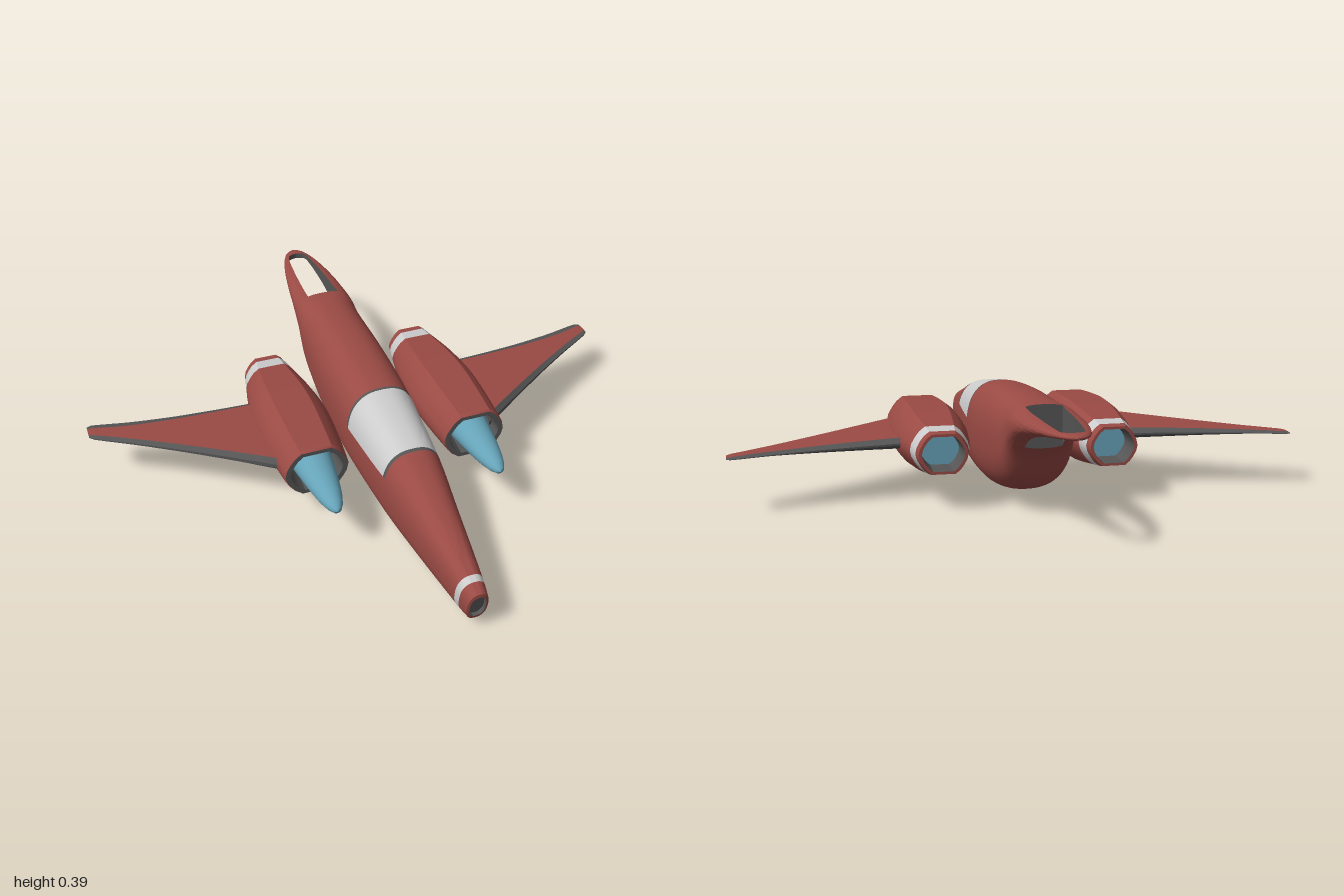
import * as THREE from 'three';
import { toCreasedNormals } from 'three/addons/utils/BufferGeometryUtils.js';

const mat = (color) => new THREE.MeshStandardMaterial({ color, side: THREE.DoubleSide });
const red = mat(0x9a4a44), white = mat(0xcccccc), blue = mat(0x66a3b8), dark = mat(0x555555);

// Skin a grid of points: rows run along the part, columns run around it.
function skin(name, rows, material, flip = false, crease = 0.6) {
  const n = rows[0].length, index = [];
  for (let i = 0; i < rows.length - 1; i++) {
    for (let j = 0; j < n - 1; j++) {
      const a = i * n + j, b = a + 1, d = a + n, c = d + 1;
      index.push(...(flip ? [a, c, b, a, d, c] : [a, b, c, a, c, d]));
    }
  }
  const g = new THREE.BufferGeometry();
  g.setAttribute('position', new THREE.Float32BufferAttribute(rows.flat(2), 3));
  g.setIndex(index);
  const mesh = new THREE.Mesh(toCreasedNormals(g, crease), material);
  mesh.name = name;
  return mesh;
}

// Smooth interpolation through [position, value, value...] keys, position descending.
function spline(keys, t, k) {
  let i = 0;
  while (i < keys.length - 2 && t < keys[i + 1][0]) i++;
  const slope = (m) => {
    const p = keys[Math.max(m - 1, 0)], q = keys[Math.min(m + 1, keys.length - 1)];
    return (q[k] - p[k]) / (q[0] - p[0]);
  };
  const a = keys[i], b = keys[i + 1], h = b[0] - a[0];
  const u = THREE.MathUtils.clamp((t - a[0]) / h, 0, 1), v = 1 - u;
  return a[k] * v * v * (1 + 2 * u) + b[k] * u * u * (1 + 2 * v)
    + h * (slope(i) * u * v * v - slope(i + 1) * u * u * v);
}
const steps = (a, b, n) => Array.from({ length: n + 1 }, (_, i) => a + (b - a) * i / n);

// Hull stations: z, half width, top, bottom
const HULL = [
  [0.955, 0.036, 0.168, 0.048], [0.9, 0.046, 0.187, 0.04], [0.6, 0.086, 0.266, 0.016],
  [0.41, 0.11, 0.315, 0.006], [0.2, 0.125, 0.35, 0], [0.05, 0.133, 0.37, 0.002],
  [-0.1, 0.135, 0.382, 0.01], [-0.25, 0.132, 0.389, 0.034], [-0.37, 0.127, 0.39, 0.066],
  [-0.44, 0.123, 0.39, 0.1], [-0.48, 0.12, 0.39, 0.15], [-0.51, 0.118, 0.389, 0.205],
  [-0.55, 0.115, 0.387, 0.243], [-0.6, 0.11, 0.381, 0.277], [-0.7, 0.098, 0.377, 0.31],
  [-0.8, 0.081, 0.373, 0.33], [-0.88, 0.061, 0.37, 0.342], [-0.93, 0.04, 0.368, 0.349],
  [-0.95, 0.024, 0.366, 0.352], [-0.962, 0.003, 0.362, 0.357],
];
// Half width of the slot through the tail
const SLOT = [[-0.55, 0.062], [-0.7, 0.056], [-0.8, 0.049], [-0.86, 0.043], [-0.9, 0.035], [-0.913, 0.02], [-0.918, 0]];
const POWER = 2.5;

// Point on the hull; angle 0 is the top, positive towards +x
function hull(z, a, scale = 1, shift = 0) {
  const [w, top, bot] = [1, 2, 3].map((k) => spline(HULL, z, k));
  const bend = (v) => Math.sign(v) * Math.abs(v) ** (2 / POWER);
  const mid = (top + bot) / 2;
  const y = mid + (top - bot) / 2 * bend(Math.cos(a)) * scale;
  const lean = 0.17 * THREE.MathUtils.smoothstep(z, 0.6, 0.95);
  return [w * bend(Math.sin(a)) * scale, y, z + lean * (y - mid) + shift];
}
const around = (z, a0, a1, n) => steps(a0, a1, n).map((a) => hull(z, a));

function fuselage() {
  const g = new THREE.Group();
  g.name = 'fuselage';
  const full = (name, z0, z1, n, m) =>
    g.add(skin(name, steps(z0, z1, n).map((z) => around(z, -Math.PI, Math.PI, 56)), m));
  full('noseLip', 0.955, 0.912, 3, red);
  full('noseBand', 0.912, 0.887, 2, white);
  full('forwardHull', 0.887, 0.415, 16, red);
  full('rearHull', 0.1, -0.55, 44, red);

  // Recessed nose opening
  const noseRing = (s, d) => steps(-Math.PI, Math.PI, 56).map((a) => hull(0.955, a, s, d));
  g.add(skin('noseRim', [noseRing(0.78, 0.003), noseRing(1, 0)], red));
  g.add(skin('noseOpening', [noseRing(0, -0.012), noseRing(0.78, -0.012), noseRing(0.78, 0.003)], dark));

  // Cockpit section: canopy above its sill, hull below
  const sill = (z) => {
    const top = spline(HULL, z, 2), bot = spline(HULL, z, 3);
    return Math.acos(((0.225 - (top + bot) / 2) / ((top - bot) / 2)) ** (POWER / 2));
  };
  const glass = (name, z0, z1, n, m) =>
    g.add(skin(name, steps(z0, z1, n).map((z) => around(z, -sill(z), sill(z), 28)), m));
  glass('canopyFrontFrame', 0.415, 0.402, 1, dark);
  glass('canopy', 0.402, 0.11, 12, white);
  glass('canopyRearFrame', 0.11, 0.1, 1, dark);
  g.add(skin('cockpitHull', steps(0.415, 0.1, 14).map((z) => around(z, sill(z), 2 * Math.PI - sill(z), 36)), red));

  // Forked tail around an open slot
  const cut = (z) => {
    const r = Math.max(0, spline(SLOT, z, 1)) / spline(HULL, z, 1);
    return Math.asin(Math.min(1, r) ** (POWER / 2));
  };
  const slotZ = [...steps(-0.55, -0.89, 22), ...steps(-0.895, -0.918, 8)];
  const tailZ = [...slotZ, ...steps(-0.922, -0.962, 10)];
  for (const s of [1, -1]) {
    const side = ([x, y, z]) => [x * s, y, z];
    g.add(skin('tailBoom', tailZ.map((z) => around(z, cut(z), Math.PI - cut(z), 24).map(side)), red, s < 0));
    g.add(skin('slotWall', slotZ.map((z) =>
      [hull(z, Math.PI - cut(z)), hull(z, cut(z))].map(side)), dark, s < 0));
  }
  g.add(skin('slotFrontWall', steps(-cut(-0.55), cut(-0.55), 10).map((a) =>
    [hull(-0.55, a), hull(-0.55, Math.PI - a)]), dark));
  return g;
}

// Engine nacelle stations: z, half width, half height
const NACELLE = [
  [0.265, 0.113, 0.087], [0.255, 0.117, 0.092], [0.1, 0.131, 0.102], [0, 0.136, 0.105],
  [-0.1, 0.132, 0.101], [-0.2, 0.119, 0.091], [-0.285, 0.102, 0.08], [-0.34, 0.091, 0.073], [-0.37, 0.084, 0.068],
];
const QUARTER = [[0.48, 1], [0.68, 0.8], [0.82, 0.57], [0.95, 0.28], [1, 0]];
const RING = [
  ...QUARTER, ...QUARTER.slice(0, 4).reverse().map(([x, y]) => [x, -y]),
  ...QUARTER.map(([x, y]) => [-x, -y]), ...QUARTER.slice(0, 4).reverse().map(([x, y]) => [-x, y]), QUARTER[0],
];

function engine(s) {
  const g = new THREE.Group();
  g.name = s > 0 ? 'leftEngine' : 'rightEngine';
  g.position.set(0.295 * s, 0.197, 0);
  const ring = (z, scale = 1, at = z) => {
    const w = spline(NACELLE, z, 1) * scale, h = spline(NACELLE, z, 2) * scale;
    return RING.map(([x, y]) => [x * w, y * h, at]);
  };
  const shell = (name, zs, m) => g.add(skin(name, zs.map((z) => ring(z)), m));
  shell('nacelle', [0.265, 0.255, ...steps(0.24, -0.285, 18)], red);
  shell('exhaustBand', [-0.285, -0.31, -0.34], white);
  shell('exhaustLip', [-0.34, -0.37], red);
  g.add(skin('intakeDuct', [ring(0.265, 0.01, 0.17), ring(0.265, 0.78, 0.17), ring(0.265, 0.84), ring(0.265)], dark));
  g.add(skin('exhaustRim', [ring(-0.37), ring(-0.37, 0.87)], red));
  g.add(skin('exhaustDuct', [ring(-0.37, 0.87), ring(-0.37, 0.8, -0.28)], dark));
  g.add(skin('exhaustGlow', [ring(-0.37, 0.8, -0.28), ring(-0.37, 0.01, -0.28)], blue));

  // Pointed intake spike
  const profile = [[0, 0.17], [0.076, 0.17], [0.07, 0.22], [0.064, 0.265], [0.054, 0.34], [0.041, 0.41], [0.028, 0.455], [0.015, 0.48], [0, 0.488]];
  const spike = new THREE.LatheGeometry(profile.map(([r, y]) => new THREE.Vector2(r, y)), 32);
  const mesh = new THREE.Mesh(spike.rotateX(Math.PI / 2).scale(1, 0.86, 1), blue);
  mesh.name = 'intakeSpike';
  g.add(mesh);
  return g;
}

// Wing stations, tip first: x, leading z, trailing z, half thickness
const WING = [
  [1, -0.2, -0.262, 0.004], [0.985, -0.185, -0.268, 0.006], [0.85, -0.102, -0.237, 0.01],
  [0.7, -0.004, -0.212, 0.015], [0.55, 0.1, -0.196, 0.02], [0.42, 0.193, -0.186, 0.024], [0.37, 0.228, -0.184, 0.025],
];

function wing(s) {
  const g = new THREE.Group();
  g.name = s > 0 ? 'leftWing' : 'rightWing';
  const section = (x) => {
    const [le, te, t] = [1, 2, 3].map((k) => spline(WING, x, k));
    const y = 0.197 - 0.008 * (x - 0.37) / 0.63, c = le - te;
    const fore = le - Math.min(0.02, c * 0.2), aft = te + Math.min(0.028, c * 0.25);
    return [[le, 0.3], [fore, 1], [aft, 0.8], [te, 0.15], [te, -0.15], [aft, -0.8], [fore, -1], [le, -0.3], [le, 0.3]]
      .map(([z, k]) => [x * s, y + t * k, z]);
  };
  const rows = [...steps(0.37, 0.97, 20), 0.985, 1].map(section);
  const part = (name, pick, m) => g.add(skin(name, rows.map((r) => pick.map((j) => r[j])), m, s > 0, 0.4));
  part('wingTop', [1, 2], red);
  part('wingBottom', [5, 6], red);
  part('leadingEdge', [6, 7, 0, 1], dark);
  part('trailingEdge', [2, 3, 4, 5], dark);
  const tip = rows.at(-1);
  g.add(skin('wingTip', [tip, tip.map(() => [s, 0.189, -0.231])], dark, s > 0));
  return g;
}

export function createModel() {
  const model = new THREE.Group();
  model.name = 'aircraft';
  model.add(fuselage());
  for (const s of [1, -1]) model.add(engine(s), wing(s));
  return model;
}
